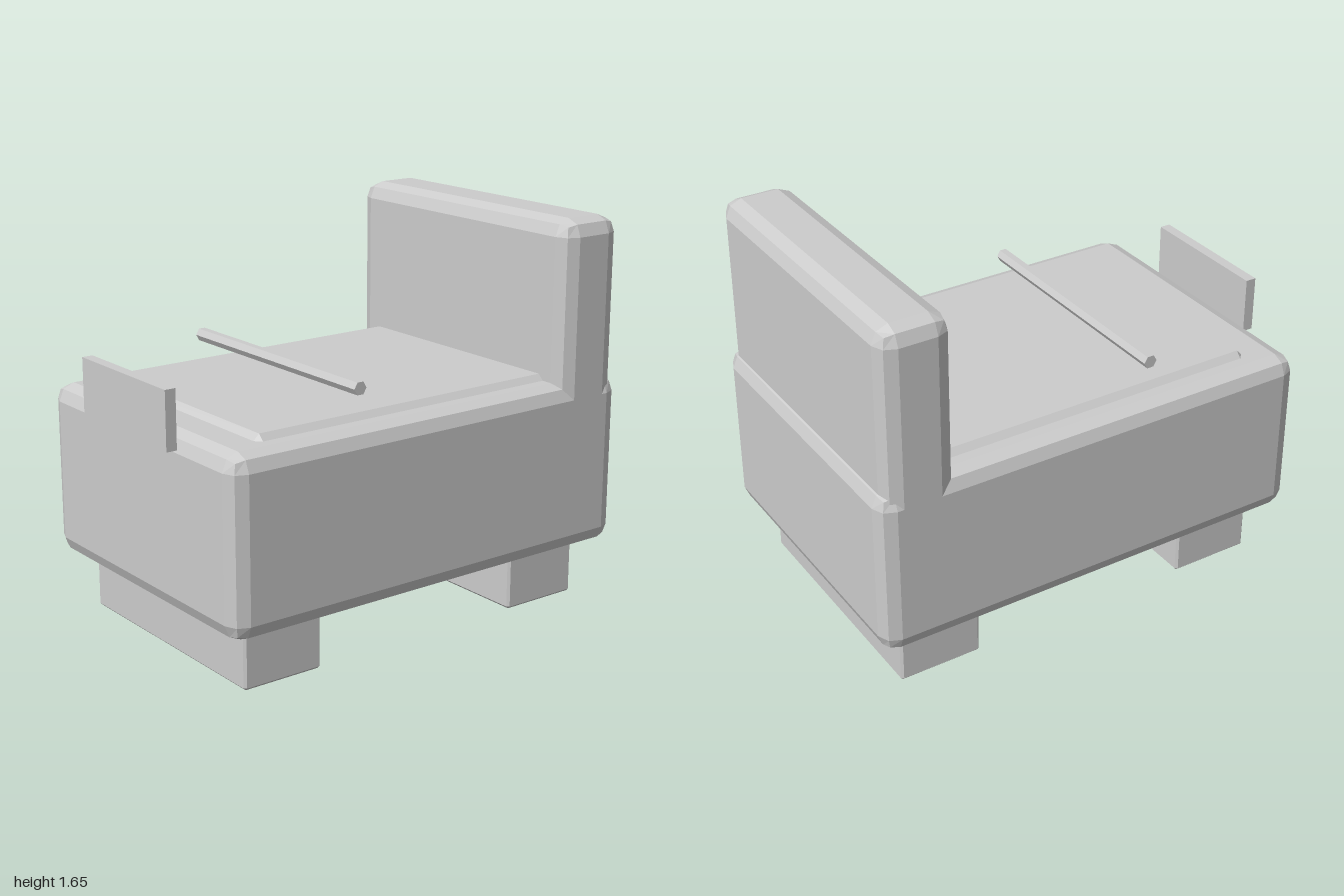
import * as THREE from 'three';
import { RoundedBoxGeometry } from 'three/addons/geometries/RoundedBoxGeometry.js';
import { ConvexGeometry } from 'three/addons/geometries/ConvexGeometry.js';

// Box with one flat chamfer of size c on every edge
function chamferedBox(w, h, d, c) {
  const points = [];
  for (const sx of [-1, 1]) for (const sy of [-1, 1]) for (const sz of [-1, 1]) {
    for (let axis = 0; axis < 3; axis++) {
      const inset = [c, c, c];
      inset[axis] = 0;
      points.push(new THREE.Vector3(
        sx * (w / 2 - inset[0]), sy * (h / 2 - inset[1]), sz * (d / 2 - inset[2])));
    }
  }
  return new ConvexGeometry(points);
}

export function createModel() {
  const group = new THREE.Group();
  const grey = new THREE.MeshStandardMaterial({ color: 0xcccccc, flatShading: true });
  grey.name = 'light grey';

  const add = (name, geometry, y, z) => {
    const mesh = new THREE.Mesh(geometry, grey);
    mesh.name = name;
    mesh.position.set(0, y, z);
    group.add(mesh);
  };

  // Main block and the tall back rising from it
  add('body', new RoundedBoxGeometry(1.33, 0.73, 1.945, 1, 0.07), 0.61, -0.0225);
  add('backrest', new RoundedBoxGeometry(1.33, 0.95, 0.3, 1, 0.07), 1.175, -0.817);

  // Thin raised pad on top of the body
  add('seatPad', chamferedBox(1.1, 0.1, 1.5, 0.025), 0.95, 0.013);

  // Broad feet
  add('frontFoot', chamferedBox(1.09, 0.25, 0.36, 0.01), 0.125, 0.65);
  add('rearFoot', chamferedBox(1.09, 0.25, 0.36, 0.01), 0.125, -0.693);

  // Six-sided cross bar above the pad
  const bar = new THREE.CylinderGeometry(0.029, 0.029, 1.094, 6).rotateZ(Math.PI / 2);
  add('crossBar', bar, 1.1, 0.283);

  // Upright plate at the front
  add('frontPlate', new THREE.BoxGeometry(0.605, 0.24, 0.046), 1.04, 0.977);

  return group;
}
